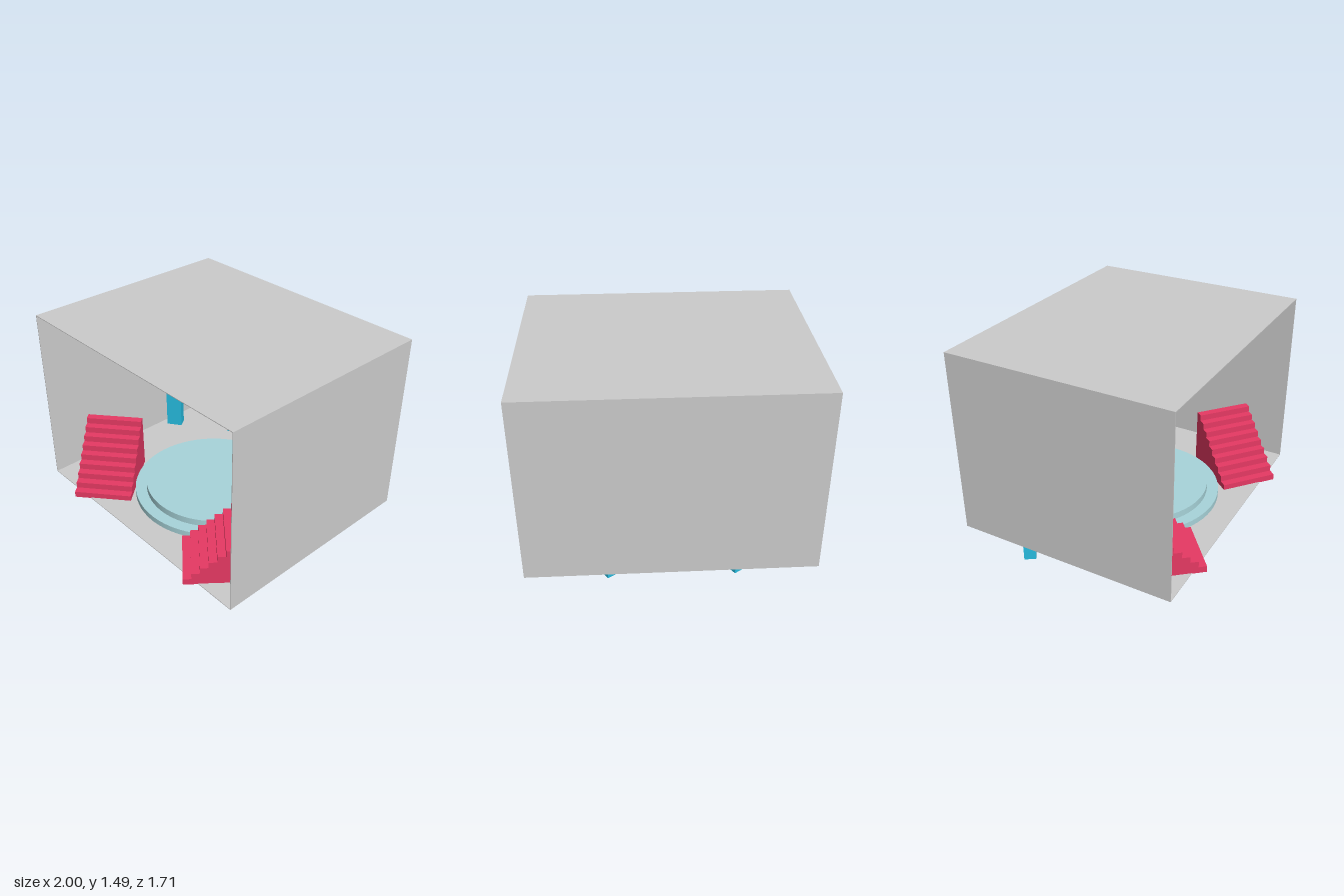
import * as THREE from 'three';
import { toCreasedNormals } from 'three/addons/utils/BufferGeometryUtils.js';

const mat = (color) => new THREE.MeshStandardMaterial({ color });
const grey = mat(0xcccccc);
const teal = mat(0x26bce0);
const red = mat(0xe63963);
const paleBlue = mat(0xa8d4da);

function add(parent, name, geometry, material, x = 0, y = 0, z = 0) {
  const mesh = new THREE.Mesh(geometry, material);
  mesh.name = name;
  mesh.position.set(x, y, z);
  parent.add(mesh);
  return mesh;
}

// Semicircular band with optional straight legs; the origin is the arc's centre
function bandGeometry(outer, inner, leg, depth) {
  const shape = new THREE.Shape();
  shape.absarc(0, 0, outer, 0, Math.PI, false);
  if (leg > 0) {
    shape.lineTo(-outer, -leg);
    shape.lineTo(-inner, -leg);
  }
  shape.absarc(0, 0, inner, Math.PI, 0, true);
  if (leg > 0) {
    shape.lineTo(inner, -leg);
    shape.lineTo(outer, -leg);
  }
  const geo = new THREE.ExtrudeGeometry(shape, { depth, bevelEnabled: false, curveSegments: 32 });
  geo.translate(0, 0, -depth / 2);
  return toCreasedNormals(geo, 0.5);
}

// Solid staircase descending towards local +z, centred on x and z
function stairGeometry(steps, width, length, height) {
  const tread = length / steps;
  const riser = height / steps;
  const shape = new THREE.Shape();
  shape.moveTo(-length / 2, 0);
  shape.lineTo(length / 2, 0);
  for (let i = 0; i < steps; i++) {
    const front = length / 2 - i * tread;
    shape.lineTo(front, (i + 1) * riser);
    shape.lineTo(front - tread, (i + 1) * riser);
  }
  const geo = new THREE.ExtrudeGeometry(shape, { depth: width, bevelEnabled: false });
  geo.translate(0, 0, -width / 2);
  geo.rotateY(-Math.PI / 2);
  return geo;
}

export function createModel() {
  const model = new THREE.Group();

  // Room shell, open at the front
  const room = new THREE.Group();
  room.name = 'room';
  model.add(room);
  const floorY = 0.13, topY = 1.485, backZ = -0.855, frontZ = 0.775, t = 0.005;
  const height = topY - floorY, depth = frontZ - backZ;
  const midY = (topY + floorY) / 2, midZ = (frontZ + backZ) / 2;
  add(room, 'floor', new THREE.BoxGeometry(2, t, depth), grey, 0, floorY + t / 2, midZ);
  add(room, 'ceiling', new THREE.BoxGeometry(2, t, depth), grey, 0, topY - t / 2, midZ);
  add(room, 'backWall', new THREE.BoxGeometry(2, height - 2 * t, t), grey, 0, midY, backZ + t / 2);
  for (const side of [-1, 1]) {
    add(room, side > 0 ? 'leftWall' : 'rightWall',
      new THREE.BoxGeometry(t, height - 2 * t, depth - t), grey, side * (1 - t / 2), midY, midZ + t / 2);
  }

  // Two-tier round platform
  add(model, 'platformBase', new THREE.CylinderGeometry(0.6, 0.6, 0.063, 64), paleBlue, 0, 0.1475, 0);
  add(model, 'platformTop', new THREE.CylinderGeometry(0.515, 0.515, 0.052, 64), paleBlue, 0, 0.204, 0);

  // Low arch
  const outer = 0.328, inner = 0.203, thick = 0.083;
  const lowArch = add(model, 'lowArch', bandGeometry(outer, inner, 0.532, thick), teal, -0.69, 0.532, -0.53);
  lowArch.rotation.y = THREE.MathUtils.degToRad(35);

  // Tall arch with two half rings inside
  const tall = new THREE.Group();
  tall.name = 'tallArch';
  tall.position.set(0.595, 0, -0.48);
  tall.rotation.y = THREE.MathUtils.degToRad(-54.5);
  model.add(tall);
  add(tall, 'archFrame', bandGeometry(outer, inner - 0.005, 0.702, 0.09), teal, 0, 0.722, 0);
  const halfRing = bandGeometry(0.17, 0.1, 0, 0.043);
  add(tall, 'upperHalfRing', halfRing, teal, 0, 0.79, 0).rotation.z = Math.PI;
  add(tall, 'lowerHalfRing', halfRing, teal, 0, 0.425, 0);

  // Mirrored staircases turned towards the middle
  const stairs = stairGeometry(9, 0.43, 0.513, 0.42);
  for (const side of [-1, 1]) {
    const flight = add(model, side > 0 ? 'leftStairs' : 'rightStairs', stairs, red, side * 0.627, floorY, 0.518);
    flight.rotation.y = -side * THREE.MathUtils.degToRad(40);
  }

  return model;
}
